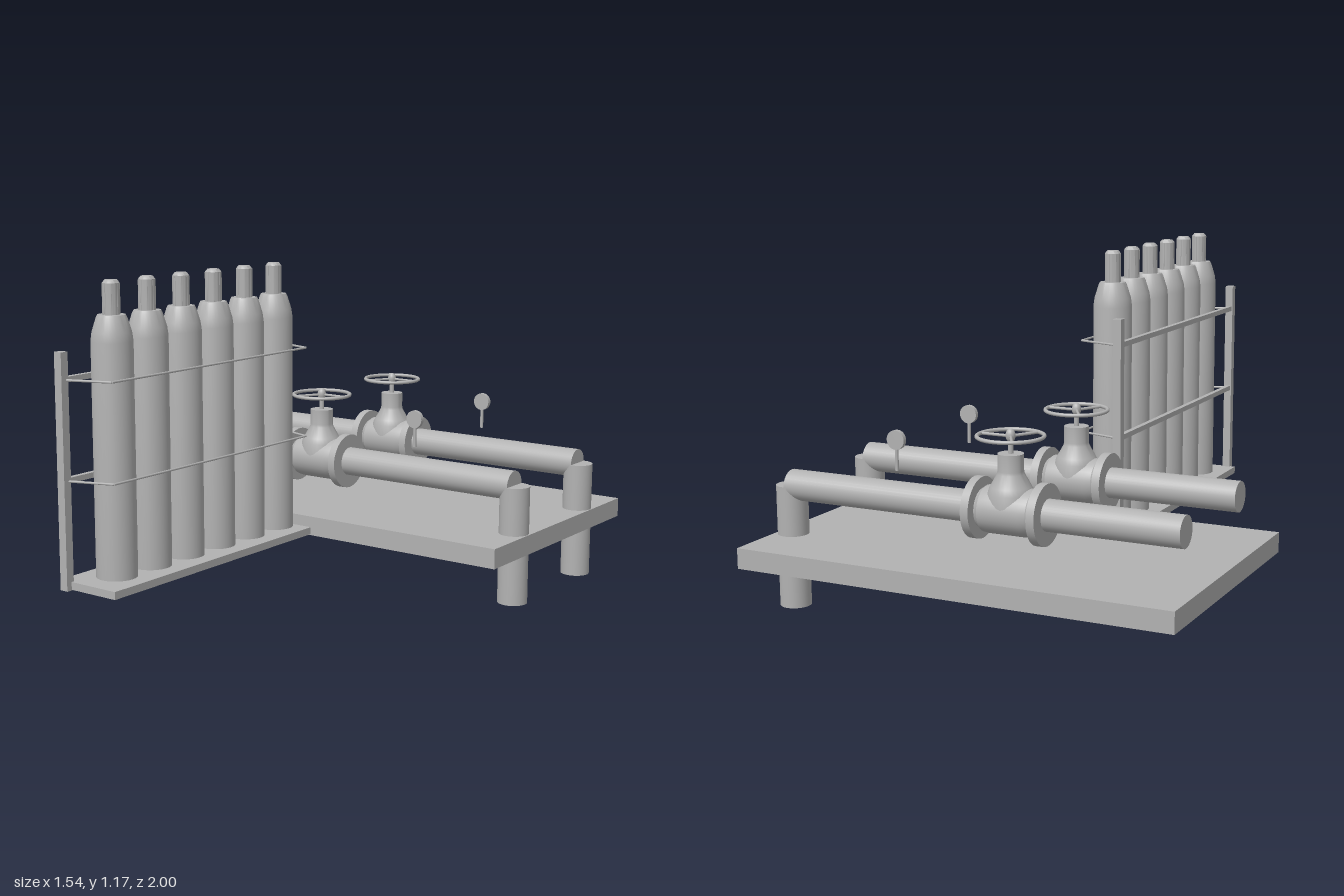
import * as THREE from 'three';
import { toCreasedNormals } from 'three/addons/utils/BufferGeometryUtils.js';

const grey = new THREE.MeshStandardMaterial({ color: 0xb2b2b2 });
grey.name = 'grey metal';

export function createModel() {
  const model = new THREE.Group();
  model.name = 'gasRackAndPipes';

  const add = (parent, name, geometry, x = 0, y = 0, z = 0) => {
    const mesh = new THREE.Mesh(geometry, grey);
    mesh.name = name;
    mesh.position.set(x, y, z);
    parent.add(mesh);
    return mesh;
  };
  // Box given by its minimum and maximum corners
  const box = (parent, name, [x0, y0, z0], [x1, y1, z1]) =>
    add(parent, name, new THREE.BoxGeometry(x1 - x0, y1 - y0, z1 - z0),
      (x0 + x1) / 2, (y0 + y1) / 2, (z0 + z1) / 2);
  // Round bar between two points
  const rod = (parent, name, a, b, r, sides = 32) => {
    const p = new THREE.Vector3(...a), q = new THREE.Vector3(...b);
    const d = q.clone().sub(p);
    const mesh = add(parent, name, new THREE.CylinderGeometry(r, r, d.length(), sides));
    mesh.position.copy(p).add(q).multiplyScalar(0.5);
    mesh.quaternion.setFromUnitVectors(new THREE.Vector3(0, 1, 0), d.normalize());
    return mesh;
  };
  // Turned solid with crisp edges; profile is [radius, height] from bottom to top
  const turned = (profile) => toCreasedNormals(
    new THREE.LatheGeometry(profile.map(([r, h]) => new THREE.Vector2(r, h)), 32), 0.5);

  // Floor slab and rack floor
  box(model, 'slab', [-0.77, 0.18, -1], [0.77, 0.25, -0.055]);
  box(model, 'rackFloor', [-0.24, 0.184, -0.06], [0, 0.21, 0.98]);

  // Rack: posts, back rails and retaining wires
  const rack = new THREE.Group();
  rack.name = 'rack';
  model.add(rack);
  for (const z of [-0.13, 0.985]) {
    box(rack, 'post', [-0.22, 0.182, z - 0.015], [-0.19, 0.955, z + 0.015]);
  }
  for (const y of [0.54, 0.865]) {
    box(rack, 'rail', [-0.216, y - 0.009, -0.13], [-0.198, y + 0.009, 0.985]);
    const path = [[-0.2, y, 0.98], [-0.045, y, 0.925], [-0.045, y, -0.085], [-0.2, y, -0.135]];
    for (let i = 0; i < 3; i++) rod(rack, 'wire', path[i], path[i + 1], 0.004, 8);
  }

  // Row of gas cylinders
  const bottle = turned([[0, 0.21], [0.068, 0.21], [0.068, 0.98], [0.064, 1.01],
    [0.05, 1.055], [0.045, 1.065], [0, 1.065]]);
  const cap = turned([[0.028, 1.06], [0.028, 1.165], [0.02, 1.175], [0, 1.175]]);
  for (let i = 0; i < 6; i++) {
    const z = 0.005 + i * 0.167;
    add(model, 'gasCylinder', bottle, -0.122, 0, z);
    add(model, 'cylinderCap', cap, -0.122, 0, z);
    // Raised ribs around the cap
    for (let k = 0; k < 8; k++) {
      const a = k * Math.PI / 4;
      add(model, 'capRib', new THREE.CylinderGeometry(0.003, 0.003, 0.1, 6),
        -0.122 + 0.026 * Math.cos(a), 1.113, z + 0.026 * Math.sin(a));
    }
  }

  // Two pipe runs, each with valve, handwheel and gauge
  const valveBody = turned([[0.062, -0.115], [0.064, -0.1], [0.075, -0.085], [0.078, -0.06],
    [0.078, 0.06], [0.075, 0.085], [0.064, 0.1], [0.062, 0.115]]);
  const bonnet = turned([[0.076, 0.42], [0.076, 0.48], [0.066, 0.5], [0.044, 0.54],
    [0.042, 0.55], [0.042, 0.605], [0, 0.605]]);
  for (const z of [-0.287, -0.765]) {
    const run = new THREE.Group();
    run.name = 'pipeRun';
    run.position.z = z;
    model.add(run);
    rod(run, 'pipe', [-0.71, 0.42, 0], [0.71, 0.42, 0], 0.052);
    rod(run, 'downPipe', [0.713, 0, 0], [0.713, 0.42, 0], 0.053);

    const cx = -0.12;
    add(run, 'valveBody', valveBody, cx, 0.42, 0).rotation.z = -Math.PI / 2;
    for (const s of [-1, 1]) {
      rod(run, 'flange', [cx + s * 0.101, 0.42, 0], [cx + s * 0.129, 0.42, 0], 0.1, 40);
    }
    add(run, 'bonnet', bonnet, cx, 0, 0);
    rod(run, 'stem', [cx, 0.6, 0], [cx, 0.675, 0], 0.009, 16);
    add(run, 'hub', new THREE.SphereGeometry(0.016, 16, 12), cx, 0.662, 0).scale.y = 1.4;
    add(run, 'handwheel', new THREE.TorusGeometry(0.106, 0.0065, 10, 40), cx, 0.66, 0)
      .rotation.x = Math.PI / 2;
    for (let i = 0; i < 3; i++) {
      const a = i * Math.PI * 2 / 3;
      rod(run, 'spoke', [cx, 0.66, 0],
        [cx + 0.106 * Math.cos(a), 0.66, 0.106 * Math.sin(a)], 0.005, 8);
    }

    rod(run, 'gaugeStem', [0.297, 0.508, 0], [0.297, 0.585, 0], 0.006, 12);
    rod(run, 'gaugeDial', [0.297, 0.61, -0.008], [0.297, 0.61, 0.008], 0.032);
  }
  return model;
}
